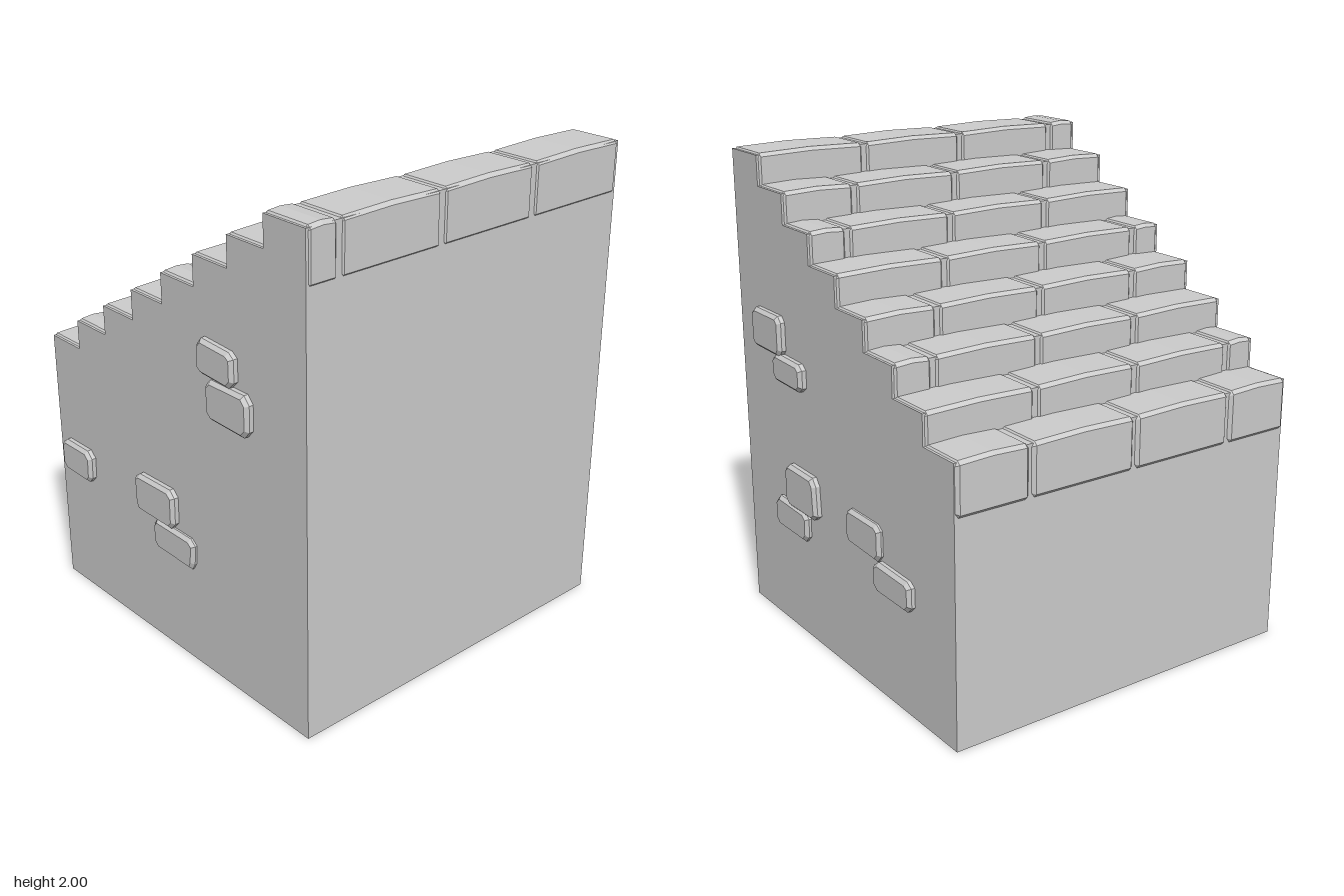
import * as THREE from 'three';

const material = new THREE.MeshStandardMaterial({ color: 0xcccccc, flatShading: true, side: THREE.DoubleSide });
const ROWS = 8, RUN = 0.198, RISE = 0.123, LEFT = -0.81, FIRST_TOP = 1.14;
const WALL_X = 0.797, WALL_Z = 0.793;

let seed = 7;
const jitter = (a) => {
  seed = (seed * 16807) % 2147483647;
  return (seed / 2147483647 - 0.5) * 2 * a;
};

function add(group, geometry, name) {
  const mesh = new THREE.Mesh(geometry, material);
  mesh.name = name;
  group.add(mesh);
  return mesh;
}

// Chamfered block centred on the origin, extruded along z
function blockGeometry(w, h, d, corner, bevel, wobble = 0, steps = 1) {
  const x = w / 2 - bevel, y = h / 2 - bevel, c = corner;
  const points = [
    [-x + c, -y], [x - c, -y], [x, -y + c], [x, y - c],
    [x - c, y], [-x + c, y], [-x, y - c], [-x, -y + c],
  ].map(([px, py]) => new THREE.Vector2(px + jitter(wobble), py + jitter(wobble)));
  const geometry = new THREE.ExtrudeGeometry(new THREE.Shape(points), {
    depth: d - 2 * bevel, steps, bevelEnabled: true,
    bevelSize: bevel, bevelThickness: bevel, bevelSegments: 1,
  });
  geometry.translate(0, 0, bevel - d / 2);
  return geometry;
}

// Hollow body: stepped front and back, side walls and stepped top, open below
function buildBody(group) {
  const outline = [[WALL_X, 0], [WALL_X, FIRST_TOP + RISE * (ROWS - 1) - 0.012]];
  for (let i = ROWS - 1; i >= 0; i--) {
    const x = i === 0 ? -WALL_X : LEFT + RUN * i + 0.008;
    outline.push([x, FIRST_TOP + RISE * i - 0.012]);
    outline.push([x, i === 0 ? 0 : FIRST_TOP + RISE * (i - 1) - 0.012]);
  }
  const shape = new THREE.Shape(outline.map(([x, y]) => new THREE.Vector2(x, y)));
  add(group, new THREE.ShapeGeometry(shape), 'frontWall').position.z = WALL_Z;
  const back = new THREE.ShapeGeometry(shape);
  back.scale(-1, 1, 1).rotateY(Math.PI);
  // restore outward winding after the mirror
  const index = back.index;
  for (let i = 0; i < index.count; i += 3) {
    const a = index.getX(i);
    index.setX(i, index.getX(i + 1));
    index.setX(i + 1, a);
  }
  back.computeVertexNormals();
  add(group, back, 'backWall').position.z = -WALL_Z;

  const positions = [];
  for (let i = 0; i < outline.length - 1; i++) {
    const [ax, ay] = outline[i], [bx, by] = outline[i + 1], z = WALL_Z;
    positions.push(ax, ay, z, ax, ay, -z, bx, by, -z, ax, ay, z, bx, by, -z, bx, by, z);
  }
  const strip = new THREE.BufferGeometry();
  strip.setAttribute('position', new THREE.Float32BufferAttribute(positions, 3));
  strip.computeVertexNormals();
  add(group, strip, 'sideWallsAndStepBase');
}

// Rows of long bricks, each with a slightly crowned top
function buildSteps(group) {
  const seams = [[-0.47, 0.01, 0.485], [-0.305, 0.17, 0.65], [-0.62, -0.145, 0.33]];
  const height = 0.22, end = 0.79, gap = 0.006;
  for (let row = 0; row < ROWS; row++) {
    const step = new THREE.Group();
    step.name = `stepRow${row + 1}`;
    const x0 = LEFT + RUN * row;
    const x1 = Math.min(x0 + 0.234, 0.803);
    const cuts = [-end, ...seams[row % 3], end];
    for (let i = 0; i < cuts.length - 1; i++) {
      const z0 = cuts[i] + (i > 0 ? gap : 0);
      const z1 = cuts[i + 1] - (i < cuts.length - 2 ? gap : 0);
      const length = z1 - z0;
      const geometry = blockGeometry(x1 - x0, height, length, 0.006, 0.014, 0, 2);
      const p = geometry.attributes.position;
      for (let v = 0; v < p.count; v++) {
        if (p.getY(v) > 0) p.setY(v, p.getY(v) - 0.006 * Math.abs(p.getZ(v)) / (length / 2));
      }
      geometry.computeVertexNormals();
      add(step, geometry, 'stepBrick').position.set(
        (x0 + x1) / 2, FIRST_TOP + RISE * row - height / 2, (z0 + z1) / 2);
    }
    group.add(step);
  }
}

// Loose bricks showing through the walls: x0, x1, y0, y1, face z
function buildWallBricks(group) {
  const front = [
    [-0.75, -0.54, 0.54, 0.68, 0.825], [-0.22, 0.035, 0.565, 0.73, 0.825],
    [-0.12, 0.145, 0.43, 0.56, 0.815], [0.22, 0.43, 1.305, 1.445, 0.825],
    [0.27, 0.51, 1.14, 1.3, 0.825],
  ];
  const back = [
    [0.41, 0.65, 1.2, 1.37, 0.825], [0.25, 0.48, 1.09, 1.21, 0.825],
    [0.17, 0.42, 0.57, 0.75, 0.825], [0.26, 0.53, 0.44, 0.575, 0.818],
    [-0.31, -0.06, 0.57, 0.72, 0.815], [-0.53, -0.27, 0.45, 0.575, 0.822],
  ];
  const depth = 0.075;
  for (const [list, side, name] of [[front, 1, 'frontWallBrick'], [back, -1, 'backWallBrick']]) {
    for (const [x0, x1, y0, y1, face] of list) {
      const brick = add(group, blockGeometry(x1 - x0, y1 - y0, depth, 0.018, 0.014, 0.004), name);
      brick.position.set((x0 + x1) / 2, (y0 + y1) / 2, side * (face - depth / 2));
    }
  }
}

export function createModel() {
  seed = 7;
  const model = new THREE.Group();
  model.name = 'brickStaircase';
  buildBody(model);
  buildSteps(model);
  buildWallBricks(model);
  return model;
}
